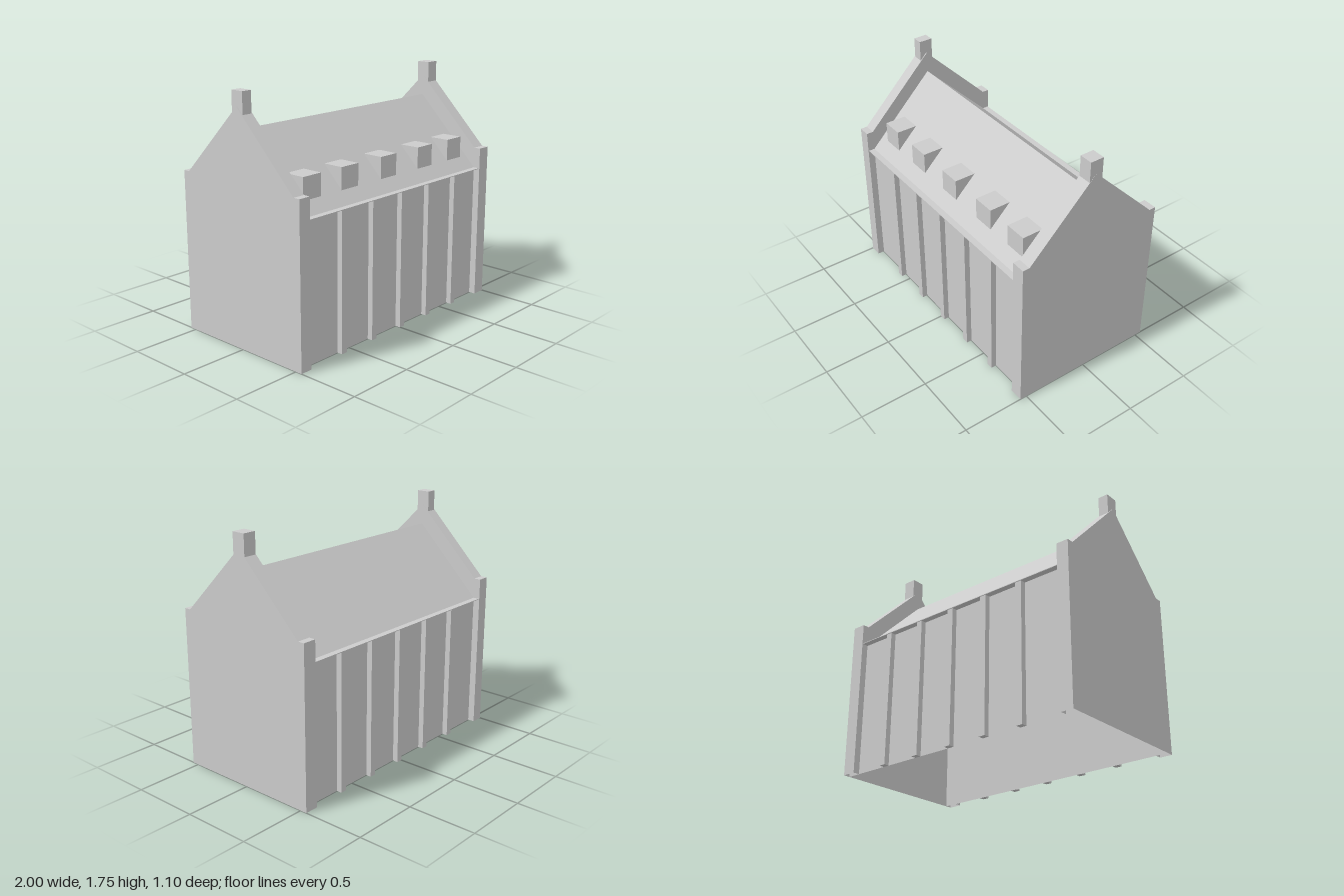
import * as THREE from 'three';

const grey = new THREE.MeshStandardMaterial({ color: 0xcccccc, flatShading: true, side: THREE.DoubleSide });

// Half profiles as [z, y], from the front foot up to the ridge
const houseHalf = [[0.5, 0], [0.5, 0.995], [0.545, 0.995], [0.545, 1], [0.5, 1], [0, 1.5]];
const gableHalf = [[0.55, 0], [0.55, 1.15], [0.5, 1.15], [0, 1.65]];
const innerHalf = [[0.5, 0], [0.5, 1], [0, 1.5]];

// Complete a half profile with its mirror image at the back
const mirrored = half => [...half, ...half.slice(0, -1).reverse().map(([z, y]) => [-z, y])];
const toShape = points => new THREE.Shape(points.map(([z, y]) => new THREE.Vector2(z, y)));

// Sweep an open profile along x, leaving its ends and underside open
function sweep(points, x0, x1) {
  const pos = [];
  for (let i = 0; i < points.length - 1; i++) {
    const [az, ay] = points[i], [bz, by] = points[i + 1];
    pos.push(x0, ay, az, x1, ay, az, x1, by, bz);
    pos.push(x0, ay, az, x1, by, bz, x0, by, bz);
  }
  const geo = new THREE.BufferGeometry();
  geo.setAttribute('position', new THREE.Float32BufferAttribute(pos, 3));
  geo.computeVertexNormals();
  return geo;
}

export function createModel() {
  const model = new THREE.Group();
  model.name = 'house';
  const add = (name, geo, parent = model) => {
    const mesh = new THREE.Mesh(geo, grey);
    mesh.name = name;
    parent.add(mesh);
    return mesh;
  };
  const box = (name, x0, x1, y0, y1, z0, z1, parent) =>
    add(name, new THREE.BoxGeometry(x1 - x0, y1 - y0, z1 - z0), parent)
      .position.set((x0 + x1) / 2, (y0 + y1) / 2, (z0 + z1) / 2);

  // Hollow shell: long walls, eaves and roof
  add('wallsAndRoof', sweep(mirrored(houseHalf), -1, 1));

  // Raised gable ends with corner piers and chimneys
  const outline = mirrored(gableHalf);
  const rim = [...outline, ...mirrored(innerHalf).reverse()];
  for (const s of [-1, 1]) {
    const gable = new THREE.Group();
    gable.name = s > 0 ? 'leftGable' : 'rightGable';
    model.add(gable);
    const inner = s > 0 ? 0.9 : -0.91;
    add('gableWall', new THREE.ShapeGeometry(toShape(outline)).rotateY(s * Math.PI / 2), gable).position.x = s;
    add('gableRim', new THREE.ShapeGeometry(toShape(rim)).rotateY(-s * Math.PI / 2), gable).position.x = inner;
    add('coping', sweep(outline, Math.min(s, inner), Math.max(s, inner)), gable);
    const [c0, c1] = s > 0 ? [0.902, 0.999] : [-0.992, -0.917];
    box('chimney', c0, c1, 1.6, 1.75, -0.05, 0.05, gable);
  }

  // Pilasters on both long walls
  for (const x of [-0.585, -0.28, 0.02, 0.318, 0.624]) {
    box('frontPilaster', x - 0.024, x + 0.024, 0, 0.995, 0.5, 0.54);
    box('backPilaster', x - 0.024, x + 0.024, 0, 0.995, -0.54, -0.5);
  }

  // Wedge dormers on the front slope
  const wedge = toShape([[0.42, 1.08], [0.42, 1.235], [0.265, 1.235]]);
  for (const x of [-0.755, -0.4, -0.005, 0.397, 0.747]) {
    const geo = new THREE.ExtrudeGeometry(wedge, { depth: 0.162, bevelEnabled: false });
    geo.translate(0, 0, -0.081).rotateY(-Math.PI / 2);
    add('dormer', geo).position.x = x;
  }
  return model;
}
